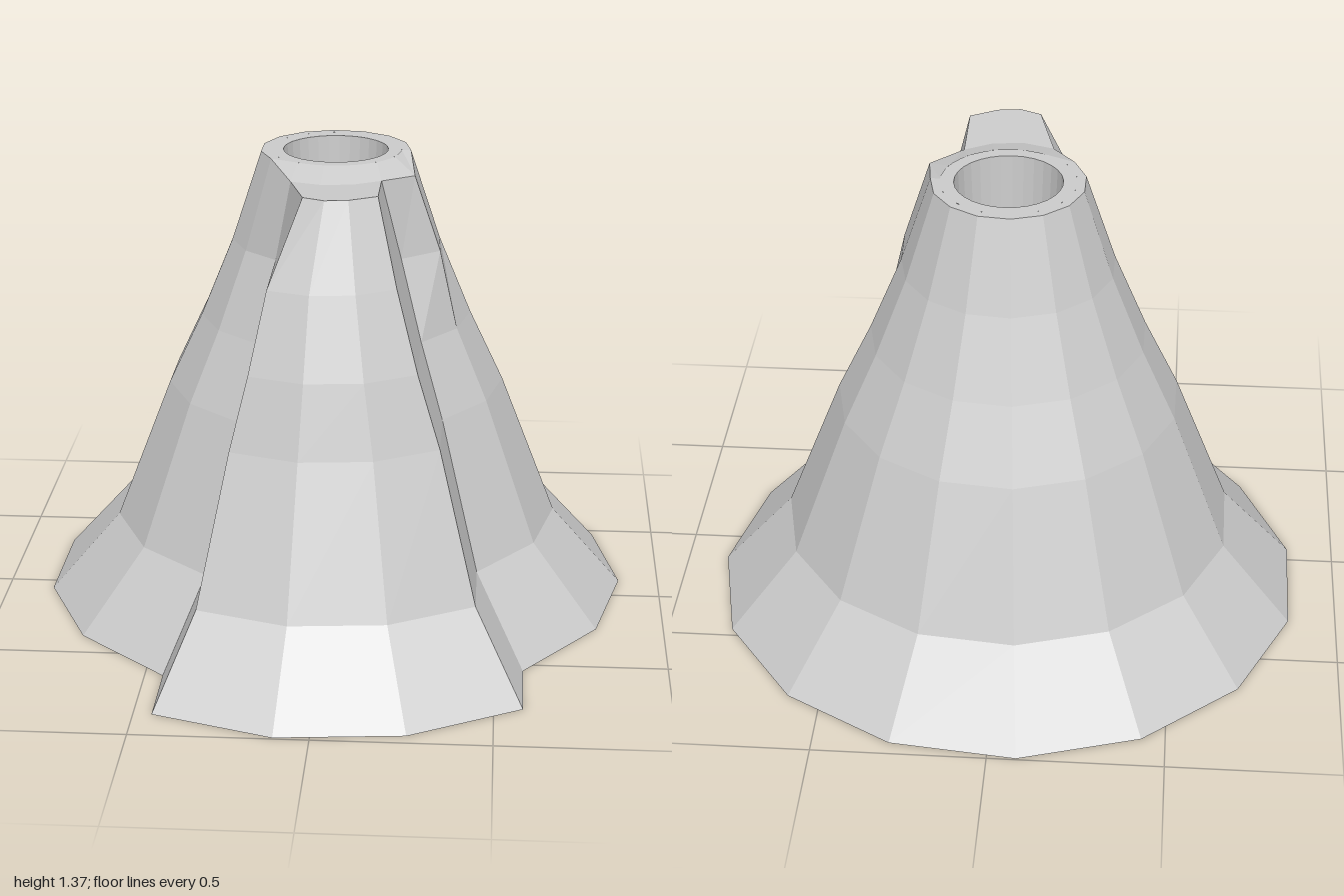
import * as THREE from 'three';

const CZ = -0.12; // the cone axis sits behind the centre
// height, cone radius, forward offset of the front spur
const LEVELS = [
  [0, 0.88, 0.24], [0.237, 0.67, 0.24], [0.66, 0.505, 0.24],
  [0.87, 0.405, 0.28], [1.1, 0.31, 0.29], [1.365, 0.222, 0.275],
];
const RIM = 0.195, TOP = 1.365, LEDGE = 1.335, PUSH = 0.075;

const ringPoint = (k, r, y, dz = 0, dx = 0) => {
  const a = THREE.MathUtils.degToRad(-6.6 + 24 * k);
  return new THREE.Vector3(Math.sin(a) * r + dx, y, CZ + Math.cos(a) * r + dz);
};

// One vertical run of points from the foot to the crater rim
function column(k, spur) {
  const seam = !spur && (k === 2 || k === 14);
  const pts = LEVELS.map(([y, r, dz], i) => {
    const top = i === LEVELS.length - 1;
    if (spur) {
      const dx = top ? ({ 14: 0.05, 15: 0.025 }[k] || 0) : 0;
      return ringPoint(k, r, top ? 1.345 : y, dz, dx);
    }
    if (top && seam) return ringPoint(k, r, LEDGE, PUSH);
    if (k === 3 && top) return new THREE.Vector3(0.24, 1.33, 0.04);
    if (k === 3 && i === 4) return ringPoint(k, r * 1.12, y);
    return ringPoint(k, r, y);
  });
  // foot of the rim, then the rim itself
  pts.push(spur ? ringPoint(k, 0.222, LEDGE, PUSH) : pts[pts.length - 1].clone());
  pts.push(ringPoint(k, RIM, TOP));
  return pts;
}

// Joins a closed loop of columns into faceted quads
function skin(columns) {
  const pos = [];
  const tri = (a, b, c) => {
    if (new THREE.Triangle(a, b, c).getArea() > 1e-7) {
      for (const p of [a, b, c]) pos.push(p.x, p.y, p.z);
    }
  };
  columns.forEach((col, c) => {
    const next = columns[(c + 1) % columns.length];
    for (let r = 0; r < col.length - 1; r++) {
      tri(col[r], next[r], next[r + 1]);
      tri(col[r], next[r + 1], col[r + 1]);
    }
  });
  const geo = new THREE.BufferGeometry();
  geo.setAttribute('position', new THREE.Float32BufferAttribute(pos, 3));
  geo.computeVertexNormals();
  return geo;
}

export function createModel() {
  const group = new THREE.Group();
  group.name = 'volcano';
  const material = new THREE.MeshStandardMaterial({
    color: 0xcccccc, flatShading: true, side: THREE.DoubleSide,
  });
  const add = (name, geo) => {
    const mesh = new THREE.Mesh(geo, material);
    mesh.name = name;
    group.add(mesh);
    return mesh;
  };

  // Slopes: cone columns around the back, then the spur stepped forward
  const columns = [];
  for (let k = 2; k <= 14; k++) columns.push(column(k, false));
  for (let k = 14; k <= 17; k++) columns.push(column(k, true));
  add('slopes', skin(columns));

  // Crater: tapering wall and floor
  const crater = add('crater', new THREE.LatheGeometry([
    new THREE.Vector2(0, 0.95), new THREE.Vector2(0.137, 0.95),
    new THREE.Vector2(0.155, TOP), new THREE.Vector2(RIM, TOP),
  ], 30));
  crater.position.z = CZ;

  // Underside with a small opening
  const base = new THREE.Shape(columns.map((c) => new THREE.Vector2(c[0].x, c[0].z)));
  base.holes.push(new THREE.Path([
    [-0.21, 0.28], [-0.30, 0.20], [-0.48, 0.31], [-0.33, 0.46],
  ].map(([x, z]) => new THREE.Vector2(x, z))));
  add('base', new THREE.ShapeGeometry(base).rotateX(Math.PI / 2));

  return group;
}
